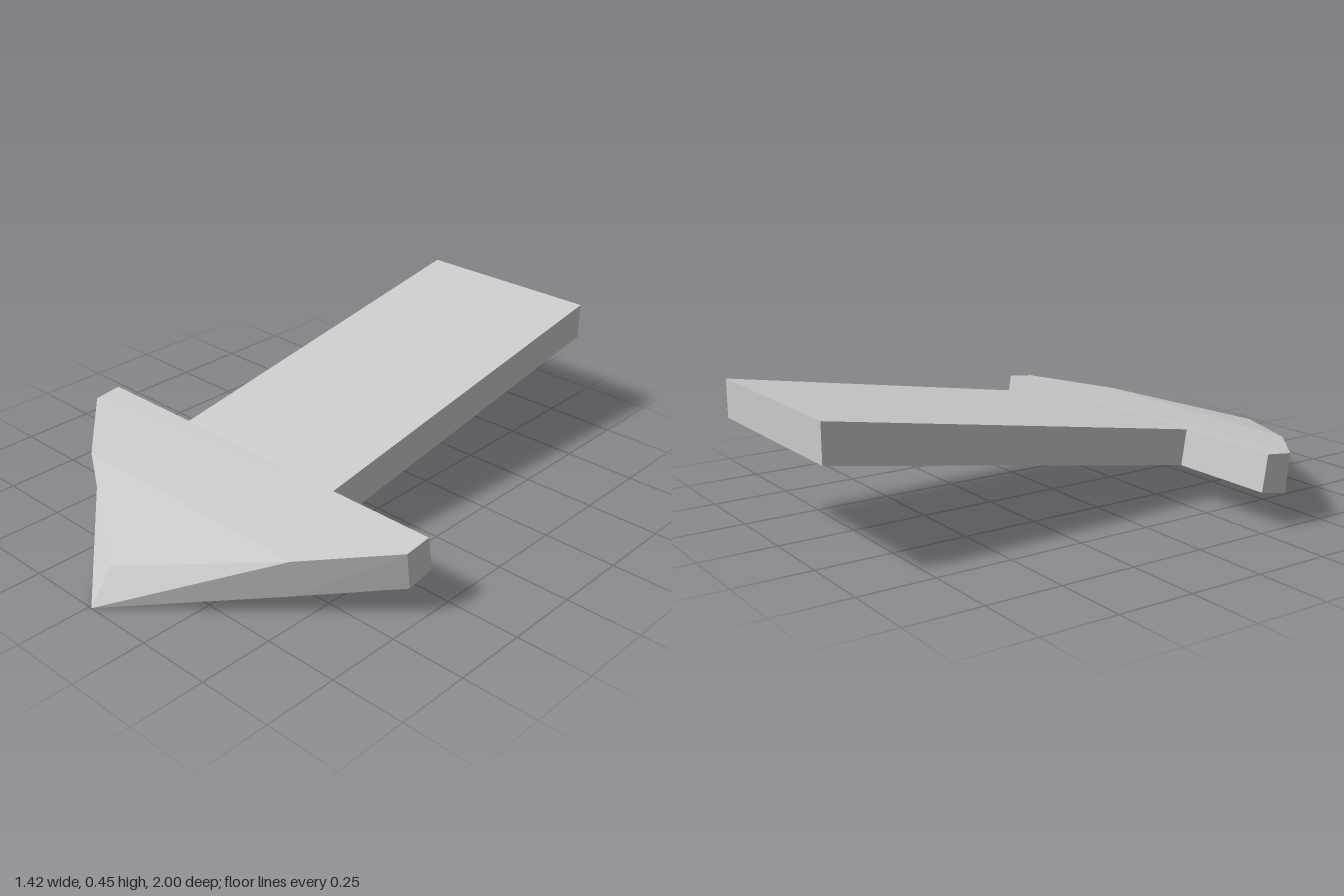
import * as THREE from 'three';

export function createModel() {
  // Right half of the arrow outline, tip to tail: top corner and bottom corner
  const half = [
    { top: [0.46, 0.187, 0.62], bottom: [0.46, 0.062, 0.61] }, // shoulder
    { top: [0.71, 0.222, 0.40], bottom: [0.71, 0.096, 0.385] }, // wing front
    { top: [0.71, 0.233, 0.305], bottom: [0.71, 0.114, 0.285] }, // wing back
    { top: [0.333, 0.233, 0.305], bottom: [0.333, 0.114, 0.285] }, // neck
    { top: [0.333, 0.45, -1], bottom: [0.333, 0.325, -1] }, // tail
  ];
  const mirror = ({ top, bottom }) => ({
    top: [-top[0], top[1], top[2]],
    bottom: [-bottom[0], bottom[1], bottom[2]],
  });
  const tip = { top: [0.01, 0.11, 0.92], bottom: [0.01, 0, 1] };
  const outline = [tip, ...half, ...half.map(mirror).reverse()];
  const n = outline.length;
  const positions = [];
  const triangle = (a, b, c) => positions.push(...a, ...b, ...c);

  // Fill a polygon given by outline indices, facing up or down
  const cap = (ids, level) => {
    const flat = ids.map((i) => new THREE.Vector2(outline[i][level][0], -outline[i][level][2]));
    for (const face of THREE.ShapeUtils.triangulateShape(flat, [])) {
      const [a, b, c] = face.map((k) => outline[ids[k]][level]);
      if (level === 'top') triangle(a, b, c);
      else triangle(a, c, b);
    }
  };
  const all = outline.map((_, i) => i);
  cap([0, 1, n - 1], 'top'); // steeper nose facet
  cap(all.slice(1), 'top'); // wings and shaft
  cap(all, 'bottom');

  // Side walls
  outline.forEach((p, i) => {
    const q = outline[(i + 1) % n];
    triangle(p.bottom, q.bottom, q.top);
    triangle(p.bottom, q.top, p.top);
  });

  const geometry = new THREE.BufferGeometry();
  geometry.setAttribute('position', new THREE.Float32BufferAttribute(positions, 3));
  geometry.computeVertexNormals();

  const arrow = new THREE.Mesh(
    geometry,
    new THREE.MeshStandardMaterial({ color: 0xcccccc, flatShading: true })
  );
  arrow.name = 'arrow';
  const group = new THREE.Group();
  group.name = 'slopedArrow';
  group.add(arrow);
  return group;
}
